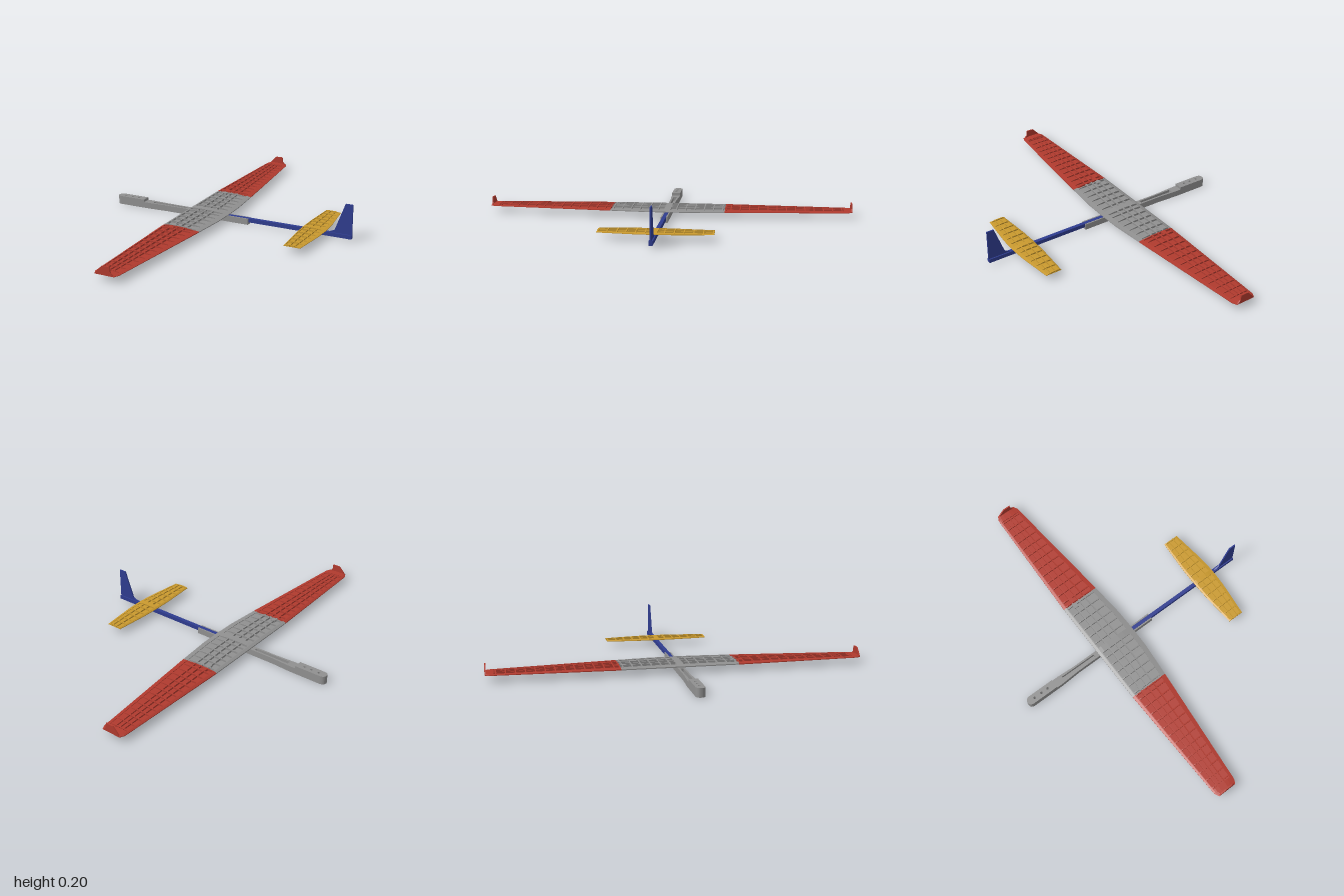
import * as THREE from 'three';

const mat = (name, color) => {
  const m = new THREE.MeshStandardMaterial({ color });
  m.name = name;
  return m;
};

// Piecewise linear lookup in [[position, value], ...]
function lookup(table, t) {
  for (let i = 1; i < table.length; i++) {
    const [a, va] = table[i - 1], [b, vb] = table[i];
    if (t <= b) return va + (vb - va) * Math.max(0, (t - a) / (b - a));
  }
  return table[table.length - 1][1];
}

// Flat-faced loft of a counter-clockwise [chord fraction, height fraction] ring along z
function loft(plan, ring, zs) {
  const pos = [], idx = [], n = ring.length;
  zs = [...zs].sort((a, b) => a - b);
  for (const z of zs) {
    const le = lookup(plan.le, Math.abs(z)), te = lookup(plan.te, Math.abs(z));
    const h = lookup(plan.height, Math.abs(z));
    for (const [u, v] of ring) pos.push(le + u * (te - le), plan.y + v * h, z);
  }
  for (let k = 0; k < zs.length - 1; k++) {
    for (let i = 0; i < n; i++) {
      const a = k * n + i, b = k * n + (i + 1) % n;
      idx.push(a, b, b + n, a, b + n, a + n);
    }
  }
  const e = (zs.length - 1) * n;
  for (let i = 1; i < n - 1; i++) idx.push(0, i + 1, i, e, e + i, e + i + 1);
  const g = new THREE.BufferGeometry();
  g.setAttribute('position', new THREE.Float32BufferAttribute(pos, 3));
  g.setIndex(idx);
  const flat = g.toNonIndexed();
  flat.computeVertexNormals();
  return flat;
}

const shapeOf = pts => new THREE.Shape(pts.map(p => new THREE.Vector2(p[0], p[1])));

// Plan shape extruded upward from y0 to y1
function slab(shape, y0, y1) {
  const g = new THREE.ExtrudeGeometry(shape, { depth: y1 - y0, bevelEnabled: false, curveSegments: 10 });
  return g.rotateX(-Math.PI / 2).translate(0, y0, 0);
}

// Side profile extruded to a thickness about z
function plate(pts, thickness, z) {
  const g = new THREE.ExtrudeGeometry(shapeOf(pts), { depth: thickness, bevelEnabled: false });
  return g.translate(0, 0, z - thickness / 2);
}

// Airfoil upper height by chord fraction
const foil = [[0, 0.35], [0.06, 0.75], [0.14, 0.95], [0.3, 1], [0.6, 0.92], [0.75, 0.72], [1, 0.26]];
const strip = (u0, u1) => [[u0, 0], [u1, 0], [u1, lookup(foil, u1)], [u0, lookup(foil, u0)]];
const fullRing = [[0, 0], [1, 0], ...[...foil].reverse()];
const SKIN = 0.24;

export function createModel() {
  const root = new THREE.Group();
  root.name = 'glider';
  const grey = mat('grey', 0x909090), red = mat('red', 0xb03a2e);
  const blue = mat('blue', 0x2f3c8f), gold = mat('gold', 0xc9992e);

  const add = (parent, name, geometry, material) => {
    const m = new THREE.Mesh(geometry, material);
    m.name = name;
    parent.add(m);
    return m;
  };

  // Open-frame panel: bottom skin, edge strips, spars and ribs
  function panel(name, plan, zs, ribs, spars, material) {
    const g = new THREE.Group();
    g.name = name;
    add(g, 'skin', loft(plan, [[0, 0], [1, 0], [1, SKIN], [0, SKIN]], zs), material);
    add(g, 'leadingEdge', loft(plan, [[0, 0], [0.08, 0], [0.08, 0.8], [0.06, 0.75], [0, 0.35]], zs), material);
    add(g, 'trailingEdge', loft(plan, strip(0.88, 1), zs), material);
    for (const u of spars) add(g, 'spar', loft(plan, strip(u - 0.015, u + 0.015), zs), material);
    for (const z of ribs) add(g, 'rib', loft(plan, fullRing, [z - 0.003, z + 0.003]), material);
    root.add(g);
    return g;
  }

  // Fuselage: outline with rounded nose and a channel open at the rear
  const nose = (s) => {
    s.lineTo(-0.675, 0.024);
    s.quadraticCurveTo(-0.7, 0.022, -0.7, 0);
    s.quadraticCurveTo(-0.7, -0.022, -0.675, -0.024);
  };
  function body(channel) {
    const s = new THREE.Shape();
    s.moveTo(0.118, 0.018);
    s.lineTo(-0.38, 0.018);
    s.lineTo(-0.49, 0.024);
    nose(s);
    s.lineTo(-0.49, -0.024);
    s.lineTo(-0.38, -0.018);
    s.lineTo(0.118, -0.018);
    if (channel) {
      for (const [x, z] of [[0.118, -0.0105], [-0.02, -0.0105], [-0.02, 0.0105], [0.118, 0.0105]]) s.lineTo(x, z);
    }
    return s;
  }
  const drill = s => {
    for (const x of [-0.655, -0.61, -0.57]) {
      s.holes.push(new THREE.Path().absarc(x, 0, 0.007, 0, Math.PI * 2, true));
    }
    return s;
  };
  const fuselage = new THREE.Group();
  fuselage.name = 'fuselage';
  root.add(fuselage);
  add(fuselage, 'floor', slab(drill(body(false)), 0, 0.012), grey);
  const walls = drill(body(true));
  walls.holes.push(new THREE.Path([[-0.47, -0.01], [-0.47, 0.01], [-0.26, 0.008], [-0.26, -0.008]]
    .map(p => new THREE.Vector2(...p))));
  add(fuselage, 'walls', slab(walls, 0.012, 0.033), grey);
  const lid = new THREE.Shape();
  lid.moveTo(-0.525, 0.024);
  nose(lid);
  lid.lineTo(-0.525, -0.024);
  add(fuselage, 'noseLid', slab(drill(lid), 0.033, 0.047), grey);

  // Tail boom and fin
  add(root, 'tailBoom', new THREE.BoxGeometry(0.72, 0.021, 0.02).translate(0.34, 0.0225, 0), blue);
  add(root, 'fin', plate([[0.56, 0.03], [0.7, 0.03], [0.7, 0.197], [0.66, 0.197], [0.605, 0.047], [0.575, 0.034]], 0.007, 0), blue);

  // Wing
  const wing = {
    y: 0.033,
    le: [[0, -0.237], [0.31, -0.237], [0.975, -0.215], [1, -0.203]],
    te: [[0, -0.002], [0.12, -0.004], [0.31, -0.02], [0.975, -0.085], [1, -0.097]],
    height: [[0, 0.016], [0.31, 0.015], [1, 0.009]],
  };
  const spars = [0.27, 0.45, 0.62];
  const centreRibs = [];
  for (let i = 1; i <= 6; i++) centreRibs.push(i * 0.05, -i * 0.05);
  const centre = panel('wingCentre', wing, [-0.312, -0.12, 0, 0.12, 0.312], centreRibs, spars, grey);
  add(centre, 'centreBlock', loft(wing, fullRing, [-0.018, 0.018]), grey);

  for (const s of [1, -1]) {
    const side = s > 0 ? 'left' : 'right';
    const ribs = [];
    for (let z = 0.345; z < 0.95; z += 0.05) ribs.push(s * z);
    const outer = panel(side + 'OuterWing', wing, [s * 0.312, s * 0.96], [s * 0.317, ...ribs], spars, red);
    add(outer, 'wingTip', loft(wing, fullRing, [s * 0.955, s * 0.975, s * 1]), red);
    add(outer, 'winglet', plate([[-0.203, 0.034], [-0.1, 0.034], [-0.117, 0.05], [-0.12, 0.079], [-0.162, 0.079], [-0.19, 0.05]], 0.007, s * 0.9965), red);
    // Joint blocks either side of the seam
    for (const [z, m] of [[0.293, grey], [0.33, red]]) {
      add(outer, 'jointBlock', new THREE.BoxGeometry(0.026, 0.013, 0.026).translate(-0.173, 0.0415, s * z), m);
    }
  }

  // Stabilizer
  const stab = {
    y: 0.033,
    le: [[0, 0.43], [0.1, 0.432], [0.29, 0.445]],
    te: [[0, 0.56], [0.1, 0.555], [0.29, 0.533]],
    height: [[0, 0.012], [0.29, 0.009]],
  };
  const tailRibs = [];
  for (let i = 1; i <= 6; i++) tailRibs.push(i * 0.0475, -i * 0.0475);
  const tail = panel('stabilizer', stab, [-0.29, -0.1, 0, 0.1, 0.29], tailRibs, [0.35, 0.65], gold);
  add(tail, 'centreBlock', loft(stab, fullRing, [-0.013, 0.013]), gold);

  return root;
}
